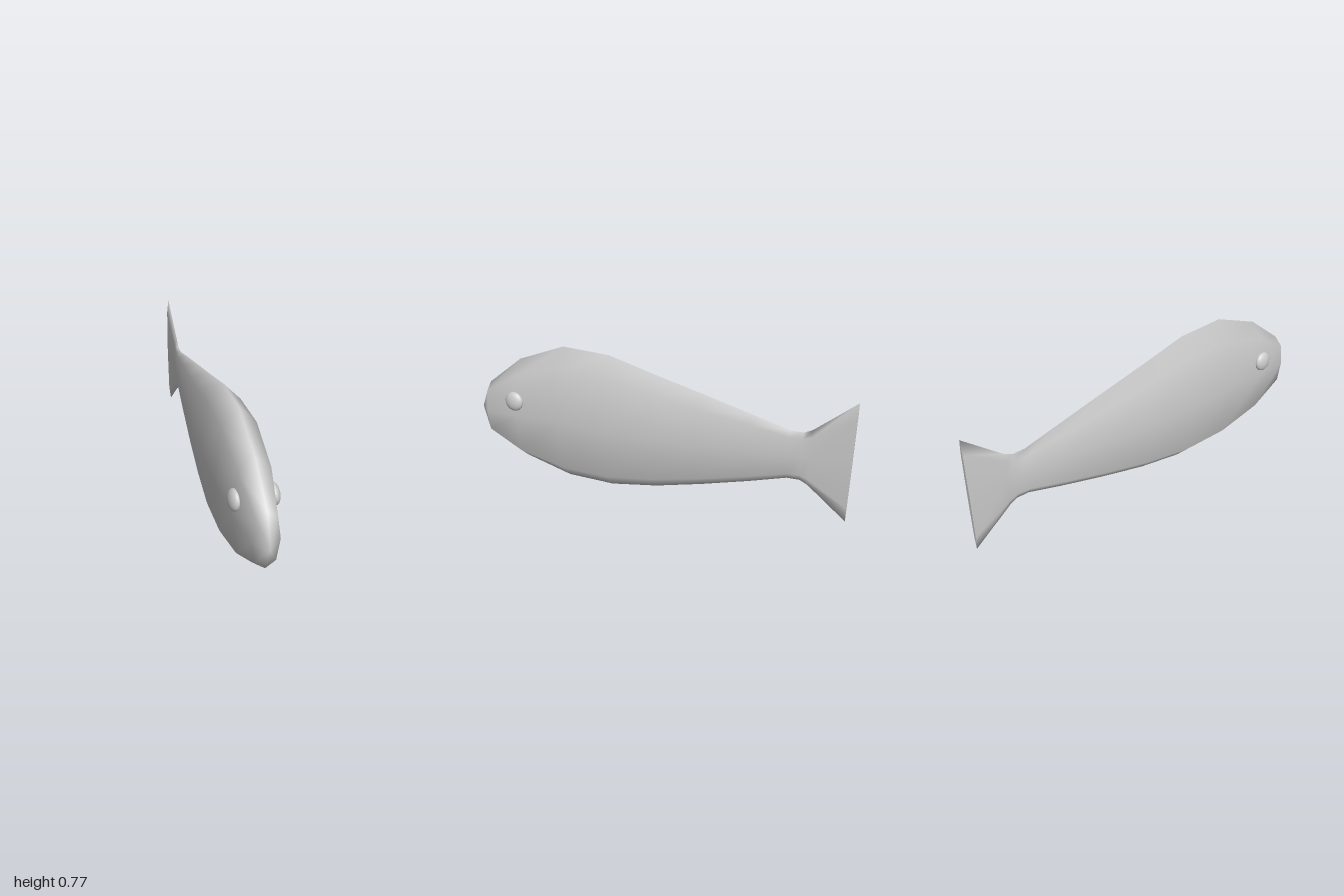
import * as THREE from 'three';
import { mergeVertices } from 'three/addons/utils/BufferGeometryUtils.js';

// Body stations from nose to tail: [z, top, bottom, half width]
const STATIONS = [
  [1.0, 0.36, 0.36, 0],
  [0.94, 0.515, 0.215, 0.065],
  [0.75, 0.675, 0.095, 0.101],
  [0.5, 0.777, 0.015, 0.114],
  [0.25, 0.763, 0.003, 0.111],
  [0, 0.69, 0.04, 0.092],
  [-0.25, 0.621, 0.1, 0.069],
  [-0.5, 0.55, 0.168, 0.043],
  [-0.69, 0.495, 0.225, 0.022],
  [-0.755, 0.494, 0.225, 0.016],
  [-0.797, 0.515, 0.202, 0.014],
  [-1.0, 0.692, 0.027, 0.012],
];

// Eight-sided cross-section, clockwise from the top ridge: [x, y] in units of the half sizes
const SECTION = [[0, 1], [0.75, 0.76], [1, 0], [0.75, -0.76], [0, -1], [-0.75, -0.76], [-1, 0], [-0.75, 0.76]];

function ring([z, top, bottom, w]) {
  const mid = (top + bottom) / 2, half = (top - bottom) / 2;
  return SECTION.map(([x, y]) => new THREE.Vector3(x * w, mid + y * half, z));
}

function loft(stations) {
  const n = SECTION.length, index = [];
  for (let i = 0; i < stations.length - 1; i++) {
    for (let j = 0; j < n; j++) {
      const a = i * n + j, b = i * n + (j + 1) % n;
      if (i > 0) index.push(a, b, a + n);
      index.push(b, b + n, a + n);
    }
  }
  const geometry = new THREE.BufferGeometry().setFromPoints(stations.flatMap(ring));
  geometry.setIndex(index);
  const merged = mergeVertices(geometry); // joins the nose ring into one tip
  merged.computeVertexNormals();
  return merged;
}

export function createModel() {
  const fish = new THREE.Group();
  fish.name = 'fish';
  const material = new THREE.MeshStandardMaterial({ color: 0xcccccc });
  const add = (name, geometry) => {
    const mesh = new THREE.Mesh(geometry, material);
    mesh.name = name;
    fish.add(mesh);
    return mesh;
  };

  // Body and tail fin in one smooth skin
  add('body', loft(STATIONS));

  // Flat rear edge closing the tail fin
  const end = ring(STATIONS[STATIONS.length - 1]);
  const edge = add('tailEdge', new THREE.ShapeGeometry(new THREE.Shape(end.map(p => new THREE.Vector2(p.x, p.y)))));
  edge.rotation.y = Math.PI;
  edge.position.z = -1;

  // Flattened eyes, tilted to lie along the cheeks
  for (const side of [1, -1]) {
    const eye = add(side > 0 ? 'leftEye' : 'rightEye', new THREE.SphereGeometry(0.052, 24, 16));
    eye.scale.x = 0.5;
    eye.position.set(side * 0.092, 0.468, 0.757);
    eye.rotation.set(0, side * -0.12, side * 0.12);
  }
  return fish;
}
